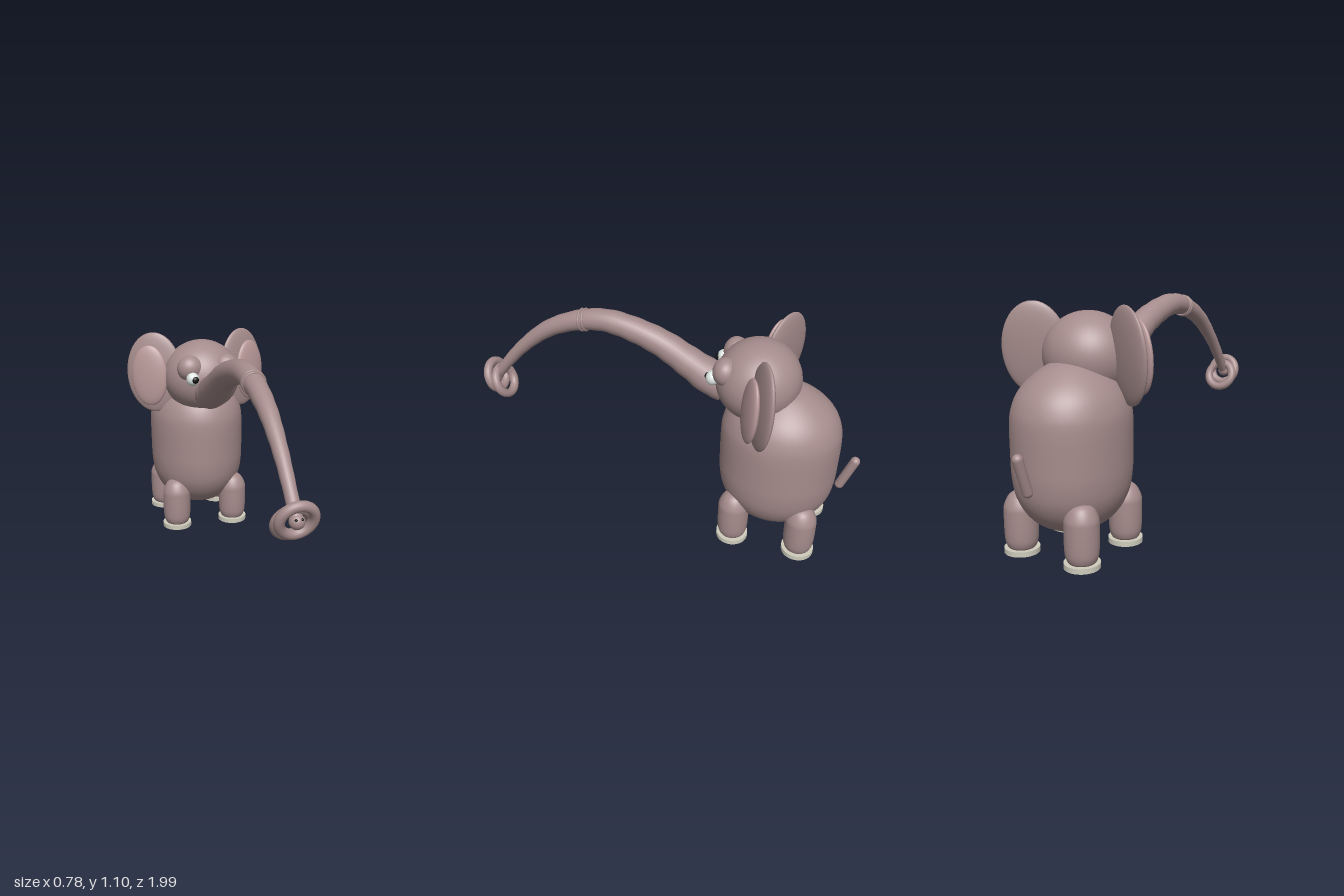
import * as THREE from 'three';

const mat = (color) => new THREE.MeshStandardMaterial({ color });
const skin = mat(0xa68c8c), pink = mat(0xb89898), nail = mat(0xcfccbd);
const white = mat(0xdde6e2), black = mat(0x151515);
const V = (x, y, z) => new THREE.Vector3(x, y, z);

function add(parent, name, geometry, material, pos = [0, 0, 0], scale = [1, 1, 1], rot = [0, 0, 0]) {
  const mesh = new THREE.Mesh(geometry, material);
  mesh.name = name;
  mesh.position.set(...pos);
  mesh.scale.set(...scale);
  mesh.rotation.set(...rot);
  parent.add(mesh);
  return mesh;
}

const ball = new THREE.SphereGeometry(1, 40, 28);

// Lathe with a profile smoothed through [radius, height] points
function turned(points) {
  const curve = new THREE.SplineCurve(points.map(([r, y]) => new THREE.Vector2(r, y)));
  const pts = curve.getPoints(60);
  pts.forEach((p) => { p.x = Math.max(p.x, 0); });
  return new THREE.LatheGeometry(pts, 48);
}

// Tube in the middle plane through [z, y, radius] stations, with soft wrinkles
function taperedTube(stations, rows, sides) {
  const curve = new THREE.CatmullRomCurve3(stations.map(([z, y]) => V(0, y, z)));
  const geo = new THREE.TubeGeometry(curve, rows, 1, sides);
  const pos = geo.attributes.position, v = V(0, 0, 0);
  const radii = new THREE.SplineCurve(stations.map(([, , r], i) => new THREE.Vector2(i, r)));
  for (let i = 0; i <= rows; i++) {
    const u = i / rows, centre = curve.getPointAt(u);
    const r = radii.getPoint(curve.getUtoTmapping(u)).y * (1 + 0.018 * Math.sin(u * 95));
    for (let j = 0; j <= sides; j++) {
      const k = i * (sides + 1) + j;
      v.fromBufferAttribute(pos, k).sub(centre).multiplyScalar(r).add(centre);
      pos.setXYZ(k, v.x, v.y, v.z);
    }
  }
  return geo;
}

export function createModel() {
  const model = new THREE.Group();
  model.name = 'elephant';

  // Barrel-shaped body
  add(model, 'body', turned([[0, 0.097], [0.08, 0.105], [0.15, 0.135], [0.205, 0.19], [0.242, 0.265],
    [0.257, 0.35], [0.26, 0.45], [0.26, 0.59], [0.25, 0.66], [0.222, 0.725], [0.17, 0.785],
    [0.09, 0.84], [0, 0.86]]), skin, [0, 0, -0.603], [1, 1, 1.12]);

  // Head, with the muzzle the trunk grows from
  add(model, 'head', ball, skin, [0, 0.862, -0.472], [0.21, 0.197, 0.203]);
  add(model, 'muzzle', ball, skin, [0, 0.815, -0.27], [0.086, 0.085, 0.09]);

  // Trunk
  add(model, 'trunk', taperedTube([[-0.32, 0.795, 0.083], [-0.24, 0.825, 0.085], [-0.13, 0.888, 0.075],
    [0, 0.962, 0.067], [0.14, 1.012, 0.061], [0.28, 1.037, 0.056], [0.41, 1.021, 0.051], [0.595, 0.943, 0.043],
    [0.756, 0.812, 0.034], [0.87, 0.685, 0.029], [0.945, 0.59, 0.028]], 110, 24), skin);
  add(model, 'trunkTip', ball, skin, [0, 0.59, 0.945], [0.033, 0.033, 0.033]);
  for (const x of [-0.013, 0.013]) {
    add(model, 'nostril', ball, black, [x, 0.607, 0.969], [0.006, 0.006, 0.006]);
  }
  for (const z of [0.396, 0.415]) {
    add(model, 'trunkBand', new THREE.TorusGeometry(0.052, 0.006, 10, 36), skin,
      [0, 1.023 - (z - 0.396) * 0.2, z], [1, 1, 1], [0.15, 0, 0]);
  }

  // Two rings held at the end of the trunk
  const ring = new THREE.TorusGeometry(0.074, 0.023, 18, 48);
  add(model, 'frontRing', ring, skin, [0, 0.595, 0.945], [1, 1, 1], [0.34, 0, 0]);
  add(model, 'backRing', ring, skin, [0, 0.57, 0.9], [1, 1, 1], [0.42, 0, 0]);

  // Mirrored ears, brows and eyes
  for (const s of [1, -1]) {
    const side = s > 0 ? 'left' : 'right';
    const turn = [-0.08, s * 0.48, 0];
    add(model, side + 'Ear', ball, skin, [s * 0.25, 0.88, -0.54], [0.155, 0.218, 0.032], turn);
    add(model, side + 'InnerEar', ball, pink, [s * 0.285, 0.873, -0.497], [0.1, 0.164, 0.028], turn);
    add(model, side + 'Brow', ball, skin, [s * 0.1, 0.935, -0.335], [0.068, 0.068, 0.06]);
    add(model, side + 'Eye', ball, white, [s * 0.1, 0.89, -0.275], [0.034, 0.035, 0.032]);
    add(model, side + 'Pupil', ball, black, [s * 0.093, 0.89, -0.252], [0.019, 0.019, 0.016]);
  }

  // Four legs on flat feet
  const leg = turned([[0, 0.015], [0.052, 0.02], [0.07, 0.045], [0.076, 0.09], [0.077, 0.18],
    [0.074, 0.22], [0.055, 0.26], [0.03, 0.28], [0, 0.285]]);
  const foot = new THREE.CylinderGeometry(0.08, 0.08, 0.024, 40);
  for (const [row, z] of [['front', -0.432], ['back', -0.772]]) {
    for (const s of [1, -1]) {
      add(model, row + 'Leg', leg, skin, [s * 0.165, 0, z]);
      add(model, row + 'Foot', foot, nail, [s * 0.165, 0.012, z]);
    }
  }

  // Upright tail
  add(model, 'tail', new THREE.CapsuleGeometry(0.023, 0.163, 10, 24), skin,
    [0, 0.42, -0.944], [1, 1, 1], [-0.34, 0, 0]);

  return model;
}
